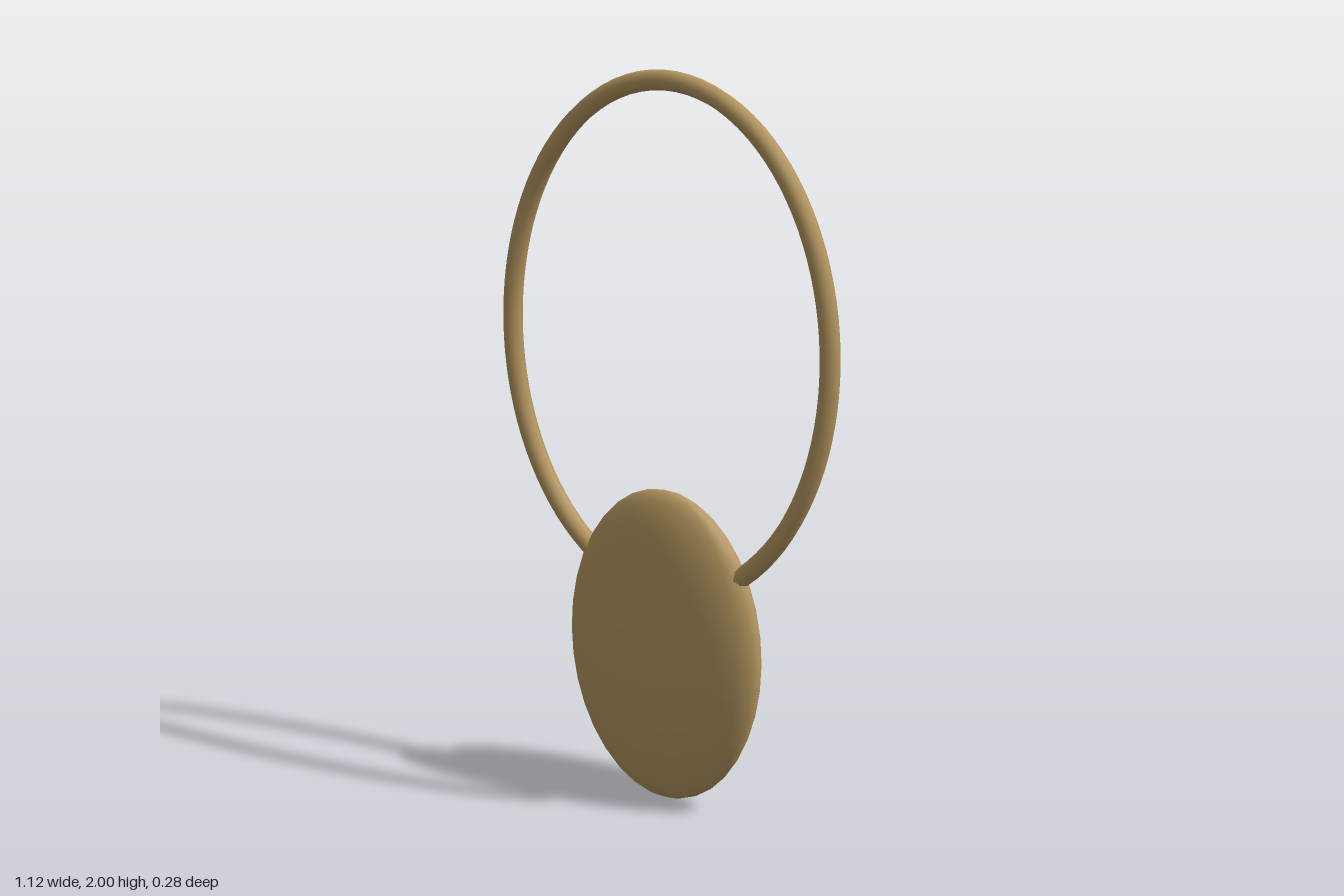
import * as THREE from 'three';

const brass = new THREE.MeshStandardMaterial({ color: 0xb5965f });
const stone = new THREE.MeshStandardMaterial({ color: 0xaed2c8 });

// Closed elliptical path in the XY plane, starting at the top
class EllipseLoop extends THREE.Curve {
  constructor(rx, ry) {
    super();
    this.rx = rx;
    this.ry = ry;
  }
  getPoint(t, target = new THREE.Vector3()) {
    const a = t * Math.PI * 2;
    return target.set(Math.sin(a) * this.rx, Math.cos(a) * this.ry, 0);
  }
}

// Ellipsoid with its semi-axes baked into the geometry
function ellipsoid(name, material, radii, position, segments) {
  const geometry = new THREE.SphereGeometry(1, segments[0], segments[1]);
  geometry.scale(...radii);
  const mesh = new THREE.Mesh(geometry, material);
  mesh.name = name;
  mesh.position.set(...position);
  return mesh;
}

export function createModel() {
  const group = new THREE.Group();
  group.name = 'pendant';

  // Domed oval setting
  group.add(ellipsoid('setting', brass, [0.32, 0.438, 0.092], [0, 0.44, 0.046], [24, 18]));

  // Oval stone sunk into the back of the setting
  group.add(ellipsoid('stone', stone, [0.242, 0.346, 0.092], [0, 0.443, -0.046], [24, 24]));

  // Thin oval hoop, its lower end passing through the setting
  const hoop = new THREE.Mesh(
    new THREE.TubeGeometry(new EllipseLoop(0.531, 0.691), 96, 0.027, 8, true),
    brass
  );
  hoop.name = 'hoop';
  hoop.position.set(0, 1.282, 0.046);
  group.add(hoop);

  return group;
}
